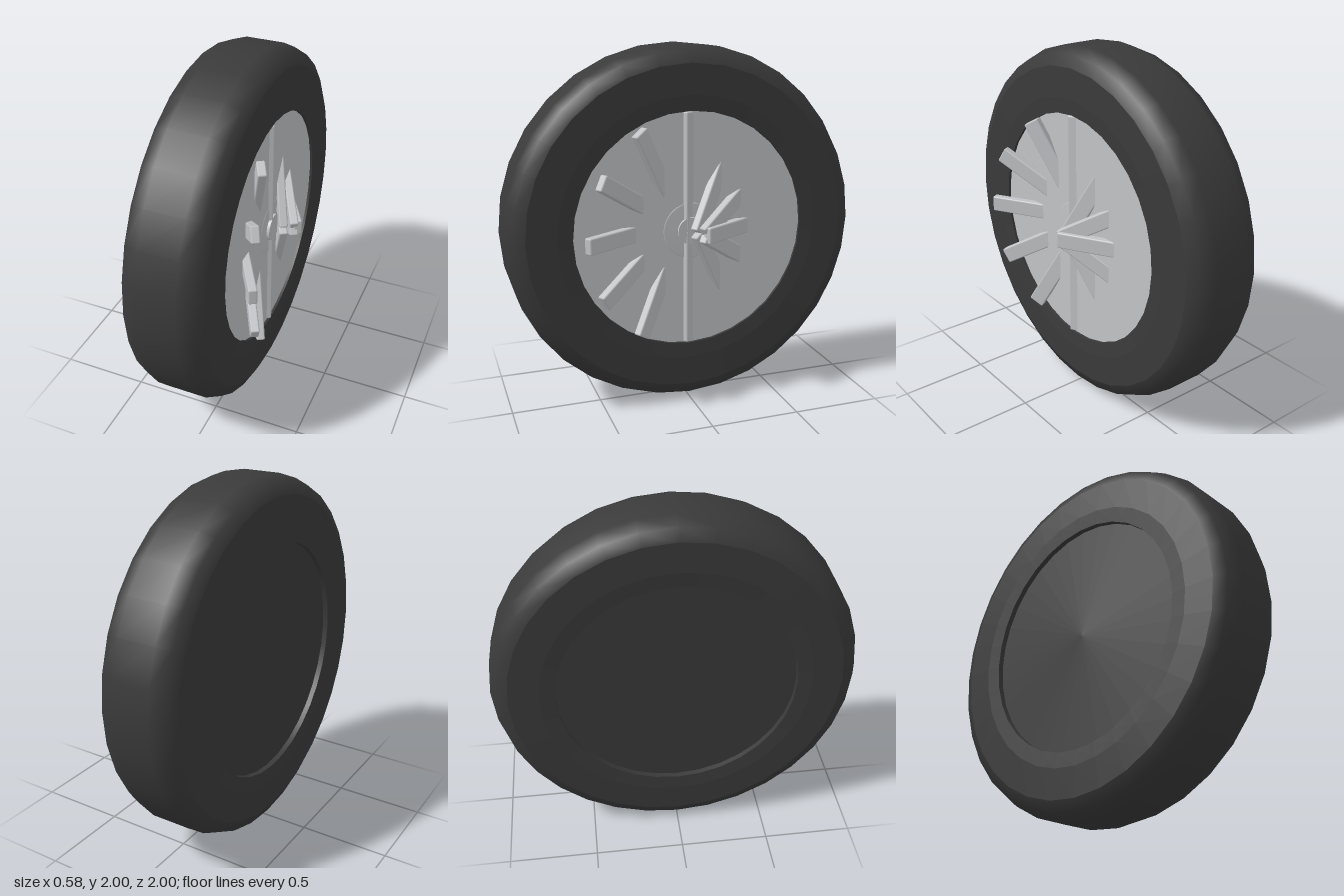
import * as THREE from 'three';
import { RoundedBoxGeometry } from 'three/addons/geometries/RoundedBoxGeometry.js';

const rubber = new THREE.MeshStandardMaterial({ color: 0x3a3a3a });
rubber.name = 'rubber';
const metal = new THREE.MeshStandardMaterial({ color: 0xc2c3c6 });
metal.name = 'metal';

const SIDES = 32;

// Revolves [radius, x] points around the axle, which runs along x
function turned(name, points, material) {
  const geometry = new THREE.LatheGeometry(points.map(([r, x]) => new THREE.Vector2(r, x)), SIDES);
  geometry.rotateZ(-Math.PI / 2);
  const mesh = new THREE.Mesh(geometry, material);
  mesh.name = name;
  mesh.position.y = 1;
  return mesh;
}

export function createModel() {
  const wheel = new THREE.Group();
  wheel.name = 'wheel';

  // Tyre: separate bands keep the edges between them sharp
  wheel.add(
    turned('backDisc', [[0, -0.25], [0.655, -0.25]], rubber),
    turned('backRecess', [[0.655, -0.25], [0.655, -0.28]], rubber),
    turned('backBead', [[0.655, -0.28], [0.74, -0.287]], rubber),
    turned('backSidewall', [[0.74, -0.287], [0.905, -0.285]], rubber),
    turned('tread', [
      [0.905, -0.285], [0.968, -0.255], [1, -0.175],
      [1, 0.04], [0.968, 0.12], [0.905, 0.15],
    ], rubber),
    turned('frontSidewall', [[0.905, 0.15], [0.74, 0.152]], rubber),
    turned('frontBead', [[0.74, 0.152], [0.655, 0.145]], rubber),
    turned('frontRecess', [[0.655, 0.145], [0.655, 0.125]], rubber),
  );

  // Wheel disc and hub
  wheel.add(
    turned('wheelDisc', [[0.656, 0.13], [0, 0.13]], metal),
    turned('hubFlange', [[0.155, 0.13], [0.15, 0.134], [0, 0.134]], metal),
    turned('hubCapWall', [[0.075, 0.13], [0.075, 0.15]], metal),
    turned('hubCapFace', [[0.075, 0.15], [0, 0.15]], metal),
  );

  // Twelve spokes, all tilted the same way about the vertical
  const spokeLength = 0.65;
  const spokeGeometry = new RoundedBoxGeometry(0.047, 0.09, spokeLength, 1, 0.008);
  for (let i = 0; i < 12; i++) {
    const angle = (i * Math.PI) / 6;
    const spoke = new THREE.Mesh(spokeGeometry, metal);
    spoke.name = 'spoke';
    spoke.position.set(0.112, 1 - Math.sin(angle) * spokeLength / 2, Math.cos(angle) * spokeLength / 2);
    spoke.rotation.set(angle, Math.PI / 6, 0, 'YXZ');
    wheel.add(spoke);
  }
  return wheel;
}
